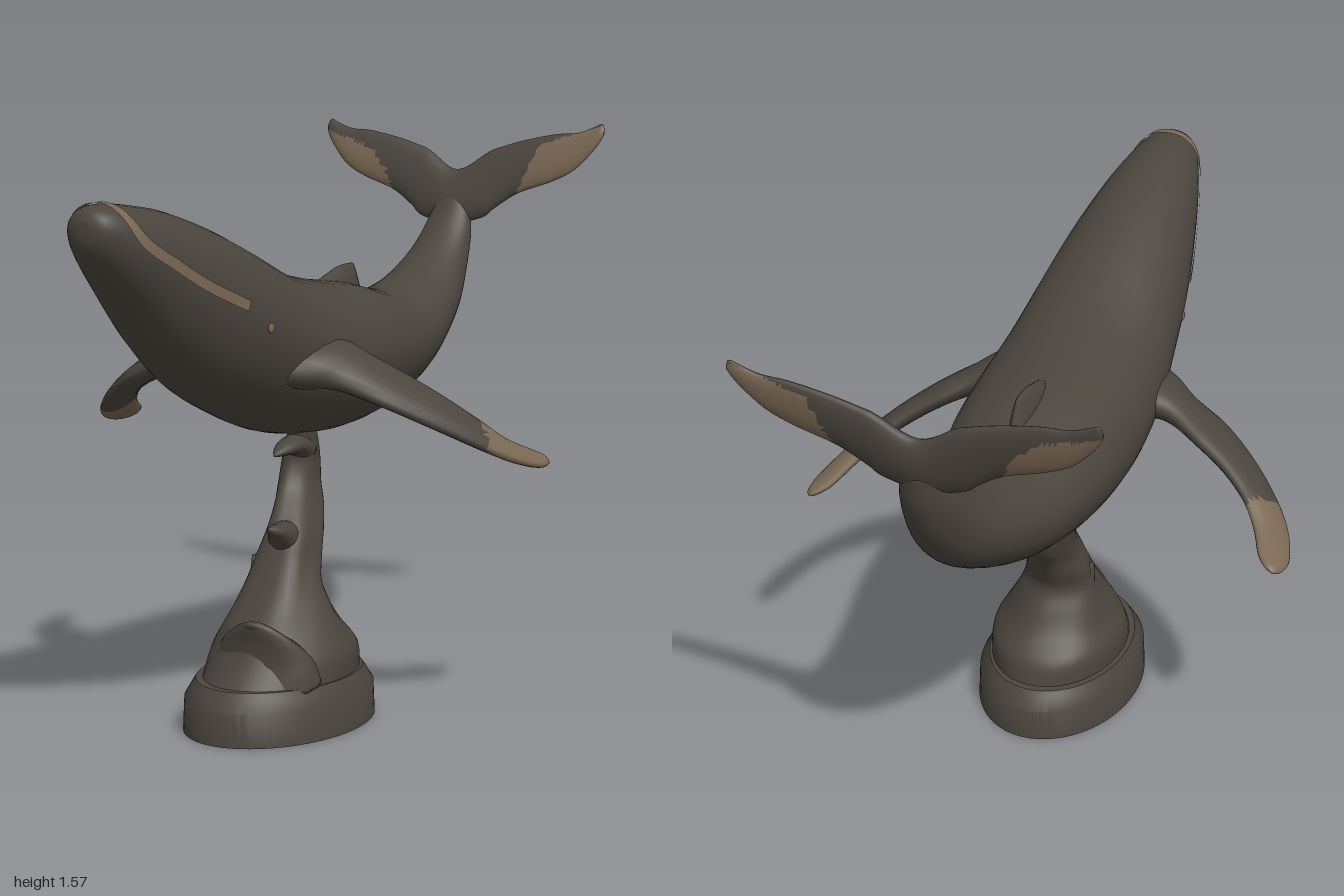
import * as THREE from 'three';
import { toCreasedNormals } from 'three/addons/utils/BufferGeometryUtils.js';

const V = (x, y, z) => new THREE.Vector3(x, y, z);
const TAU = Math.PI * 2;

// Smooth interpolation between rows of numbers; u runs from 0 to rows.length - 1
function at(rows, u) {
  const n = rows.length - 1;
  const i = Math.max(0, Math.min(n - 1, Math.floor(u))), t = u - i;
  const row = k => rows[Math.max(0, Math.min(n, k))];
  return rows[0].map((_, c) => {
    const a = row(i - 1)[c], b = row(i)[c], d = row(i + 1)[c], e = row(i + 2)[c];
    return b + 0.5 * t * (d - a + t * (2 * a - 5 * b + 4 * d - e + t * (3 * (b - d) + e - a)));
  });
}

// Rings of points along a list of rows
function makeRings(rows, steps, sides, point) {
  return Array.from({ length: steps + 1 }, (_, i) => {
    const u = i / steps * (rows.length - 1);
    return Array.from({ length: sides }, (_, j) => point(u, j / sides * TAU));
  });
}

// Closed, capped skin through rings; rule(centre) picks a material group per face
function loft(rings, rule = () => 0) {
  const n = rings[0].length, pts = rings.flat(), faces = [];
  const last = rings.length - 1;
  for (let i = 0; i < last; i++) for (let j = 0; j < n; j++) {
    const a = i * n + j, b = i * n + (j + 1) % n;
    faces.push([a, b, a + n], [b, b + n, a + n]);
  }
  for (const i of [0, last]) {
    const c = pts.push(rings[i].reduce((s, p) => s.add(p), V(0, 0, 0)).divideScalar(n)) - 1;
    for (let j = 0; j < n; j++) {
      const a = i * n + j, b = i * n + (j + 1) % n;
      faces.push(i ? [a, b, c] : [b, a, c]);
    }
  }
  // Turn every face outward
  let volume = 0;
  for (const [a, b, c] of faces) volume += pts[a].dot(pts[b].clone().cross(pts[c]));
  if (volume < 0) faces.forEach(f => f.reverse());
  const groups = [[], []];
  for (const f of faces) {
    const c = f.reduce((s, k) => s.add(pts[k]), V(0, 0, 0)).divideScalar(3);
    groups[rule(c)].push(...f);
  }
  const g = new THREE.BufferGeometry().setFromPoints(pts);
  g.setIndex(groups.flat());
  g.addGroup(0, groups[0].length, 0);
  g.addGroup(groups[0].length, groups[1].length, 1);
  g.computeVertexNormals();
  return g;
}

// Body sections: back z, y / belly z, y / half width
const BODY = [
  [0.998, 1.395, 0.998, 1.36, 0.02], [0.98, 1.422, 0.985, 1.32, 0.055],
  [0.93, 1.434, 0.93, 1.255, 0.088], [0.82, 1.425, 0.82, 1.15, 0.125],
  [0.7, 1.405, 0.7, 1.035, 0.155], [0.55, 1.362, 0.55, 0.925, 0.186],
  [0.4, 1.305, 0.4, 0.855, 0.208], [0.2, 1.222, 0.2, 0.785, 0.232],
  [0, 1.18, 0, 0.755, 0.243], [-0.2, 1.155, -0.18, 0.755, 0.233],
  [-0.36, 1.122, -0.35, 0.782, 0.207], [-0.48, 1.112, -0.52, 0.835, 0.178],
  [-0.6, 1.13, -0.68, 0.915, 0.145], [-0.7, 1.17, -0.8, 1.0, 0.117],
  [-0.8, 1.235, -0.885, 1.11, 0.09], [-0.865, 1.3, -0.935, 1.22, 0.072],
  [-0.905, 1.37, -0.952, 1.32, 0.05],
];
function skin(u, a) {
  const [zt, yt, zb, yb, w] = at(BODY, u), c = Math.cos(a);
  return V(w * Math.sin(a) * (1 + 0.1 * c), (yt + yb + (yt - yb) * c) / 2, (zt + zb + (zt - zb) * c) / 2);
}
function skinNormal(u, a) {
  const du = skin(u + 0.02, a).sub(skin(u - 0.02, a));
  const da = skin(u, a + 0.02).sub(skin(u, a - 0.02));
  const n = du.cross(da).normalize();
  const mid = skin(u, 0).add(skin(u, Math.PI)).multiplyScalar(0.5);
  return n.dot(skin(u, a).sub(mid)) < 0 ? n.negate() : n;
}

// Head stripe: body position and angle from the crown down one side
const STRIPE = [[2, 0], [2, 0.4], [2.05, 0.8], [2.25, 1.25], [2.6, 1.46],
  [3.3, 1.52], [4, 1.53], [4.6, 1.5], [5, 1.48]];
function stripeGeometry() {
  const path = [...STRIPE.slice(1).reverse().map(([u, a]) => [u, -a]), ...STRIPE];
  const steps = 96, pts = [], index = [];
  const where = i => at(path, Math.max(0, Math.min(steps, i)) / steps * (path.length - 1));
  for (let i = 0; i <= steps; i++) {
    const [u, a] = where(i), n = skinNormal(u, a);
    const tangent = skin(...where(i + 1)).sub(skin(...where(i - 1)));
    const side = tangent.cross(n).setLength(0.014);
    const p = skin(u, a).addScaledVector(n, 0.004);
    pts.push(p.clone().add(side), p.clone().sub(side));
    if (i < steps) index.push(2 * i, 2 * i + 1, 2 * i + 2, 2 * i + 1, 2 * i + 3, 2 * i + 2);
  }
  const g = new THREE.BufferGeometry().setFromPoints(pts);
  g.setIndex(index);
  g.computeVertexNormals();
  return g;
}

// Flipper sections: leading x, z / trailing x, z / height / thickness
const FLIPPER = [
  [0.16, 0.37, 0.16, 0.07, 0.99, 0.14], [0.225, 0.325, 0.235, 0.1, 0.98, 0.115],
  [0.29, 0.275, 0.29, 0.1, 0.962, 0.085], [0.4, 0.238, 0.37, 0.065, 0.922, 0.068],
  [0.5, 0.17, 0.46, 0.03, 0.872, 0.058], [0.59, 0.085, 0.53, -0.015, 0.82, 0.05],
  [0.65, 0, 0.575, -0.07, 0.777, 0.042], [0.682, -0.09, 0.608, -0.14, 0.75, 0.034],
  [0.68, -0.15, 0.635, -0.172, 0.742, 0.022], [0.664, -0.178, 0.655, -0.18, 0.74, 0.006],
];
function flipperGeometry(side) {
  const edges = u => {
    const [fx, fz, bx, bz, y, t] = at(FLIPPER, u);
    const drop = side > 0 ? 0.03 * Math.max(0, (y - 0.98) / -0.24) : 0;
    const tilt = Math.min(0.025, t * 0.5);
    return [V(side * fx, y - tilt - drop, fz - drop * 0.6), V(side * bx, y + tilt - drop, bz - drop * 0.6), t];
  };
  const middle = u => { const [f, b] = edges(u); return f.add(b).multiplyScalar(0.5); };
  const end = FLIPPER.length - 1;
  const rings = makeRings(FLIPPER, 45, 18, (u, a) => {
    const [f, b, t] = edges(u);
    const span = middle(Math.min(end, u + 0.1)).sub(middle(Math.max(0, u - 0.1)));
    const chord = f.clone().sub(b);
    const up = span.cross(chord).setLength(t / 2 * Math.sin(a));
    return f.add(b).multiplyScalar(0.5).addScaledVector(chord, Math.cos(a) / 2).add(up);
  });
  return loft(rings, c => (Math.abs(c.x) * 0.72 - c.z * 0.7 > 0.405 ? 1 : 0));
}

// Fluke sections for one half: x / upper y / lower y / half thickness
const FLUKE = [
  [0, 1.43, 1.27, 0.034], [0.1, 1.485, 1.29, 0.028], [0.14, 1.5, 1.32, 0.025],
  [0.21, 1.52, 1.365, 0.022], [0.31, 1.54, 1.4, 0.018], [0.38, 1.545, 1.435, 0.015],
  [0.43, 1.562, 1.485, 0.012], [0.455, 1.572, 1.52, 0.009], [0.465, 1.555, 1.54, 0.004],
];
function flukeGeometry() {
  const rows = [...FLUKE.slice(1).reverse().map(([x, ...r]) => [-x, ...r]), ...FLUKE];
  const rings = makeRings(rows, 96, 24, (u, a) => {
    const [x, top, low, t] = at(rows, u);
    const y = (top + low + (top - low) * Math.cos(a)) / 2;
    return V(x, y, -0.928 - (y - 1.35) * 0.25 + t * Math.sin(a));
  });
  return loft(rings, ({ x, y }) => {
    const r = Math.abs(x);
    if (r < 0.21 + 0.4 * Math.max(0, y - 1.365)) return 0;
    const limit = x > 0 ? 1.51 + 0.3 * (r - 0.27) : Math.min(1.4 + (r - 0.21), 1.49 + 0.3 * (r - 0.3));
    return y < limit ? 1 : 0;
  });
}

// Rock column: y / centre x, z / radius x, z
const ROCK = [
  [0.13, 0.06, 0.185, 0.19, 0.268], [0.2, 0.06, 0.165, 0.187, 0.23],
  [0.26, 0.06, 0.175, 0.155, 0.185], [0.32, 0.055, 0.165, 0.125, 0.138],
  [0.38, 0.05, 0.155, 0.102, 0.098], [0.44, 0.045, 0.125, 0.088, 0.092],
  [0.5, 0.045, 0.095, 0.073, 0.095], [0.56, 0.032, 0.05, 0.058, 0.095],
  [0.62, 0.015, 0.015, 0.05, 0.08], [0.68, 0.012, 0, 0.046, 0.07],
  [0.73, 0.02, 0.01, 0.042, 0.06], [0.77, 0.03, 0.02, 0.035, 0.045],
];
// Curling tongues on the column: x, y, z / half width / half thickness
const TONGUES = {
  frontCurl: [[0.08, 0.14, 0.3, 0.165, 0.11], [0.085, 0.2, 0.32, 0.145, 0.075],
    [0.09, 0.26, 0.355, 0.1, 0.035], [0.095, 0.295, 0.38, 0.05, 0.018], [0.095, 0.307, 0.398, 0.01, 0.005]],
  middleCurl: [[0.04, 0.46, 0.11, 0.055, 0.065], [0.055, 0.5, 0.17, 0.045, 0.045],
    [0.07, 0.52, 0.22, 0.03, 0.025], [0.075, 0.53, 0.25, 0.02, 0.015], [0.075, 0.537, 0.272, 0.004, 0.004]],
  topCurl: [[0.02, 0.715, 0, 0.042, 0.045], [0.03, 0.732, 0.06, 0.04, 0.03],
    [0.035, 0.733, 0.11, 0.034, 0.022], [0.035, 0.725, 0.15, 0.02, 0.013], [0.035, 0.718, 0.176, 0.004, 0.004]],
  sideCurl: [[0.01, 0.3, 0.13, 0.05, 0.06], [-0.025, 0.37, 0.14, 0.03, 0.04], [-0.045, 0.435, 0.15, 0.006, 0.01]],
};
function tongueGeometry(rows) {
  return loft(makeRings(rows, 20, 16, (u, a) => {
    const [x, y, z, w, t] = at(rows, u);
    const p = at(rows, Math.max(0, u - 0.1)), q = at(rows, Math.min(rows.length - 1, u + 0.1));
    const across = V(0, p[2] - q[2], q[1] - p[1]).setLength(t * Math.sin(a));
    return V(x + w * Math.cos(a), y, z).add(across);
  }));
}

export function createModel() {
  const group = new THREE.Group();
  const dark = new THREE.MeshStandardMaterial({ name: 'dark bronze', color: 0x4b453e, side: THREE.DoubleSide });
  const tan = new THREE.MeshStandardMaterial({ name: 'pale bronze', color: 0x7a6854, side: THREE.DoubleSide });
  const add = (name, geometry, material = dark) => {
    const mesh = new THREE.Mesh(geometry, material);
    mesh.name = name;
    group.add(mesh);
    return mesh;
  };

  // Whale
  add('body', loft(makeRings(BODY, 96, 40, skin)));
  add('headStripe', stripeGeometry(), tan);
  add('tailFluke', flukeGeometry(), [dark, tan]);
  for (const [side, label] of [[1, 'left'], [-1, 'right']]) {
    add(label + 'Flipper', flipperGeometry(side), [dark, tan]);
    const eye = add(label + 'Eye', new THREE.SphereGeometry(0.013, 12, 8), tan);
    eye.position.copy(skin(5.6, side * 1.6));
    eye.scale.set(0.35, 1, 1);
  }

  // Back fin: y / front z / rear z / half width
  const fin = [[1.08, -0.04, -0.36, 0.04], [1.15, -0.1, -0.33, 0.028], [1.178, -0.17, -0.318, 0.018],
    [1.193, -0.22, -0.312, 0.009], [1.198, -0.27, -0.305, 0.003]];
  add('backFin', loft(makeRings(fin, 16, 20, (u, a) => {
    const [y, f, b, w] = at(fin, u);
    return V(w * Math.sin(a), y, (f + b + (f - b) * Math.cos(a)) / 2);
  })));

  // Pedestal
  const profile = [[0, 0], [1, 0], [0.985, 0.09], [0.91, 0.122], [0.87, 0.138], [0, 0.138]];
  const plinth = new THREE.LatheGeometry(profile.map(([r, y]) => new THREE.Vector2(r, y)), 64);
  plinth.scale(0.23, 1, 0.328);
  add('plinth', toCreasedNormals(plinth, 0.6)).position.set(0.055, 0, 0.183);
  add('rockColumn', loft(makeRings(ROCK, 60, 40, (u, a) => {
    const [y, x, z, rx, rz] = at(ROCK, u);
    const ridge = 1 + 0.045 * Math.sin(5 * a + u * 0.7) * Math.sin(u / 11 * Math.PI);
    return V(x + rx * ridge * Math.cos(a), y, z + rz * ridge * Math.sin(a));
  })));
  for (const [name, rows] of Object.entries(TONGUES)) add(name, tongueGeometry(rows));
  return group;
}
